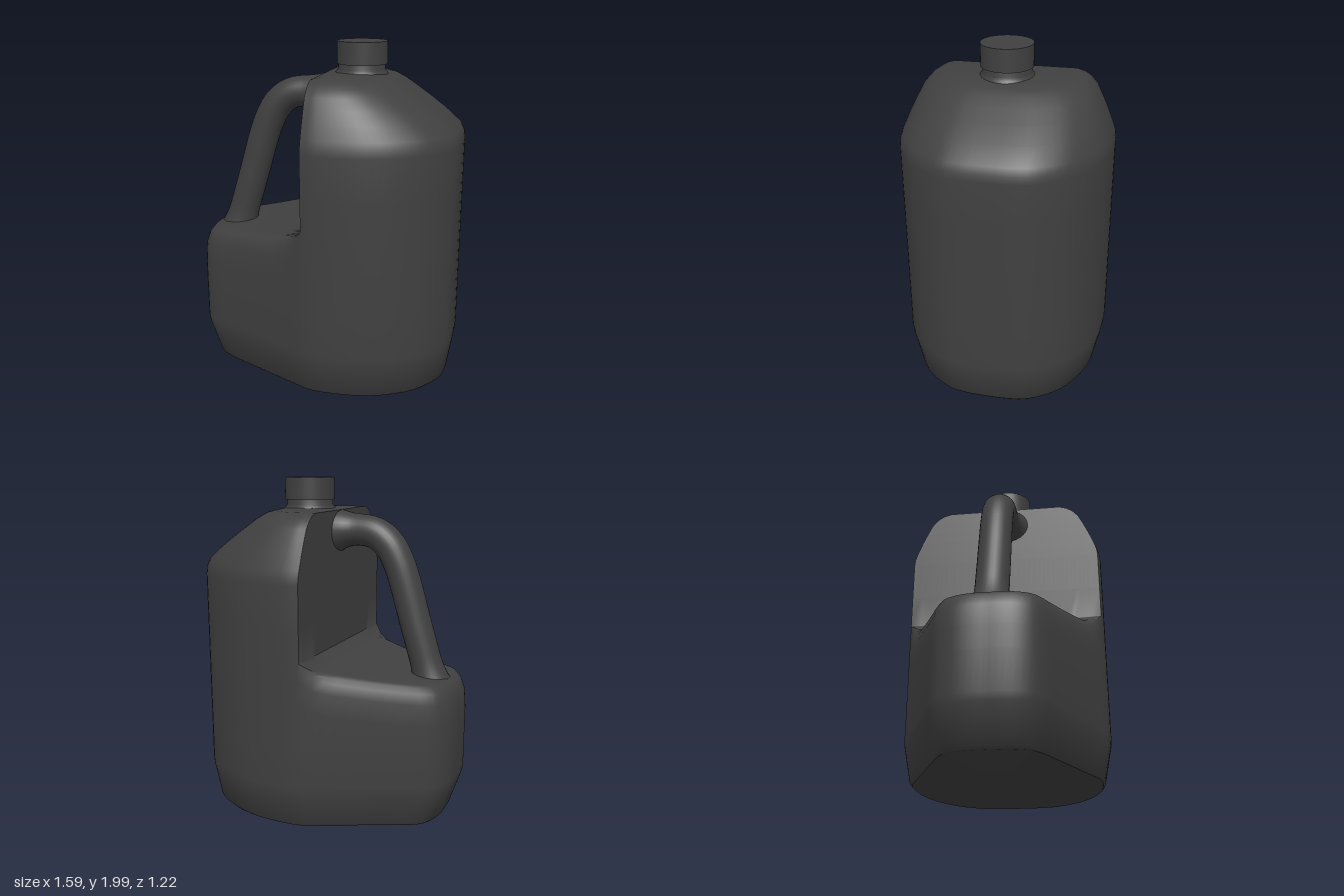
import * as THREE from 'three';
import { toCreasedNormals } from 'three/addons/utils/BufferGeometryUtils.js';

const WALL = -0.03; // plane of the upright wall behind the grip

// Skin closed rings of equal length into one surface
function loft(rings, crease) {
  const n = rings[0].length, index = [];
  for (let i = 0; i < rings.length - 1; i++) {
    for (let j = 0; j < n; j++) {
      const a = i * n + j, b = i * n + (j + 1) % n;
      index.push(a, a + n, b, b, a + n, b + n);
    }
  }
  const geo = new THREE.BufferGeometry();
  geo.setAttribute('position', new THREE.Float32BufferAttribute(rings.flat(2), 3));
  geo.setIndex(index);
  return toCreasedNormals(geo, crease);
}

// Footprint: rounded on the right, tapering to a blunt nose on the left
function footprint() {
  const spline = (pts, n) => new THREE.SplineCurve(pts.map(p => new THREE.Vector2(...p))).getPoints(n);
  const round = spline([[0.79, 0], [0.785, 0.14], [0.755, 0.27], [0.65, 0.425], [0.5, 0.53],
    [0.35, 0.587], [0.2, 0.608], [0.05, 0.608], [WALL, 0.592]], 28);
  const taper = [];
  for (let i = 1; i <= 10; i++) {
    taper.push(new THREE.Vector2(THREE.MathUtils.lerp(WALL, -0.66, i / 10), THREE.MathUtils.lerp(0.592, 0.305, i / 10)));
  }
  const nose = spline([[-0.66, 0.305], [-0.735, 0.255], [-0.78, 0.17], [-0.795, 0.08], [-0.795, 0]], 10).slice(1);
  const half = [...round, ...taper, ...nose];
  const back = half.slice(1, -1).reverse().map(p => new THREE.Vector2(p.x, -p.y));
  return [...half, ...back];
}

// Height of the ledge below the grip, with a fillet against the wall
function ledge(x) {
  const rise = Math.max(0, (x + 0.75) / 0.72);
  const fillet = Math.max(0, (x + 0.13) / 0.1);
  return 0.855 + 0.1 * rise ** 1.5 + 0.05 * fillet ** 2;
}

function bodyGeometry() {
  const outline = footprint(), rings = [];
  const isLeft = p => p.x < WALL - 1e-4;

  // Base and lower sides: y, left scale, right scale, depth scale
  for (const [y, l, r, d] of [[0.008, 0, 0, 0], [0.008, 0.88, 0.935, 0.9], [0.025, 0.905, 0.955, 0.925],
    [0.23, 0.992, 0.997, 0.994], [0.27, 1, 1, 1], [0.5, 1, 1, 1]]) {
    rings.push(outline.map(p => [p.x * (p.x < 0 ? l : r), y, p.y * d]));
  }

  // Rounded rim, then the ledge swept in to the wall: drop, inset, sweep
  for (const [drop, inset, t] of [[0.22, 0, 0], [0.1, 0.012, 0], [0.04, 0.04, 0], [0.01, 0.075, 0],
    [0, 0.12, 0], [0, 0.12, 0.3], [0, 0.12, 0.6], [0, 0.12, 0.8], [0, 0.12, 0.9], [0, 0.12, 1]]) {
    rings.push(outline.map(p => {
      if (!isLeft(p)) return [p.x, 1.005 - drop, p.y];
      const k = inset * Math.min(1, (WALL - p.x) / 0.12);
      const x = THREE.MathUtils.lerp(p.x * (1 - k), WALL, t);
      return [x, ledge(x) - drop, p.y * (1 - k)];
    }));
  }

  // Upright part and shoulder: y, right extent, half depth
  for (const [y, w, d] of [[1.2, 0.79, 0.61], [1.44, 0.79, 0.61], [1.48, 0.785, 0.605], [1.52, 0.765, 0.592],
    [1.6, 0.675, 0.56], [1.67, 0.58, 0.528], [1.735, 0.488, 0.495], [1.775, 0.43, 0.458],
    [1.8, 0.385, 0.418], [1.813, 0.34, 0.37]]) {
    rings.push(outline.map(p => [
      isLeft(p) ? WALL : p.x > 0 ? p.x * w / 0.79 : p.x, y, p.y * d / 0.61 * (isLeft(p) ? 0.95 : 1)]));
  }

  // Top closing in under the neck
  const rim = rings[rings.length - 1];
  for (const [k, y] of [[0.8, 1.818], [0.45, 1.823], [0, 1.825]]) {
    rings.push(rim.map(([x, , z]) => [0.18 + (x - 0.18) * k, y, z * k]));
  }
  return loft(rings, 0.75);
}

// Hollow-looking grip: an oval section along a bent path, flared at both ends
function handleGeometry() {
  const path = new THREE.CatmullRomCurve3([[0.04, 1.69], [-0.06, 1.697], [-0.16, 1.697], [-0.25, 1.68],
    [-0.335, 1.615], [-0.395, 1.51], [-0.435, 1.4], [-0.5, 1.18], [-0.57, 0.95], [-0.62, 0.78]]
    .map(([x, y]) => new THREE.Vector3(x, y, 0)));
  const rings = [], steps = 44, sides = 28;
  for (let i = 0; i <= steps; i++) {
    const u = i / steps, c = path.getPointAt(u), t = path.getTangentAt(u);
    const top = Math.max(0, 1 - u / 0.15) ** 2, foot = Math.max(0, (u - 0.85) / 0.15) ** 2;
    const r = 0.093 + 0.07 * top + 0.035 * foot, rz = 0.097 + 0.13 * top + 0.03 * foot;
    const ring = [];
    for (let j = 0; j < sides; j++) {
      const a = j / sides * Math.PI * 2;
      // keep the flare from rising above the shoulder
      const y = Math.min(c.y - t.x * r * Math.cos(a), 1.812);
      ring.push([c.x + t.y * r * Math.cos(a), y, rz * Math.sin(a)]);
    }
    rings.push(ring);
  }
  return loft(rings, 1);
}

export function createModel() {
  const model = new THREE.Group();
  model.name = 'jug';
  const material = new THREE.MeshStandardMaterial({ color: 0x404040 });
  const add = (name, geometry, x = 0, y = 0) => {
    const mesh = new THREE.Mesh(geometry, material);
    mesh.name = name;
    mesh.position.set(x, y, 0);
    model.add(mesh);
  };

  add('body', bodyGeometry());
  add('handle', handleGeometry());

  // Neck with a soft flare into the shoulder
  const neck = [[0.165, 1.8], [0.15, 1.825], [0.138, 1.84], [0.135, 1.9]].map(p => new THREE.Vector2(...p));
  add('neck', new THREE.LatheGeometry(neck, 40), 0.18);
  add('cap', new THREE.CylinderGeometry(0.148, 0.148, 0.13, 48), 0.183, 1.935);
  return model;
}
